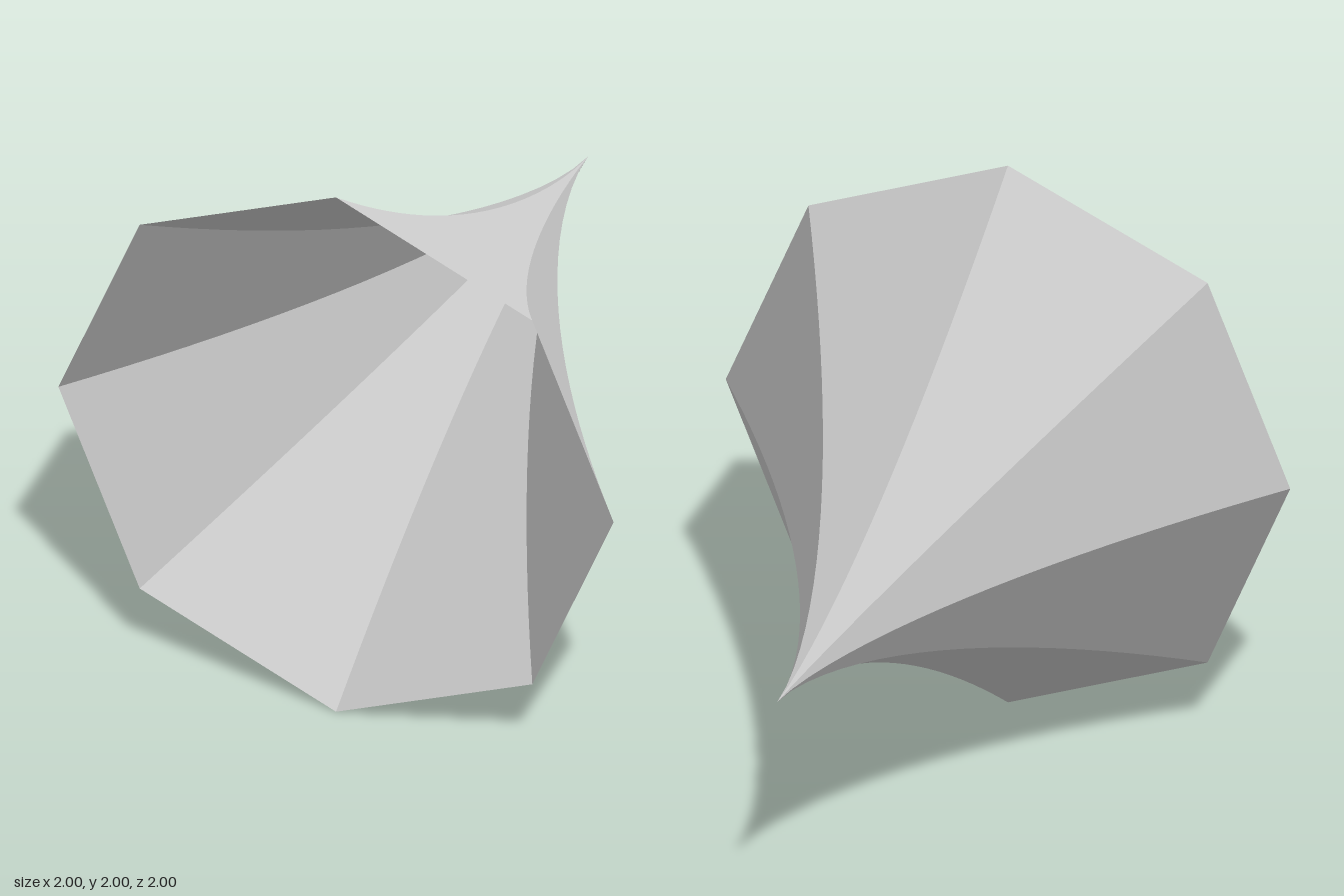
import * as THREE from 'three';

const SIDES = 8;
const RINGS = 20;

export function createModel() {
  const model = new THREE.Group();

  // Open eight-sided tube along z, with one radial normal per panel
  const geometry = new THREE.CylinderGeometry(1, 1, 2, SIDES, RINGS, true).toNonIndexed();
  geometry.computeVertexNormals();
  geometry.rotateX(Math.PI / 2);

  // Taper the rings to a point at the back; the panels keep their even shading
  const { position, normal } = geometry.attributes;
  for (let i = 0; i < position.count; i++) {
    const t = Math.max(0, (position.getZ(i) + 1) / 2);
    const radius = Math.pow(t, 1.5);
    position.setXY(i, position.getX(i) * radius, position.getY(i) * radius);
    normal.setZ(i, 0);
  }

  const material = new THREE.MeshStandardMaterial({
    color: 0xcccccc,
    side: THREE.DoubleSide,
  });
  const horn = new THREE.Mesh(geometry, material);
  horn.name = 'hornShell';
  horn.position.y = 1;
  model.add(horn);

  return model;
}
